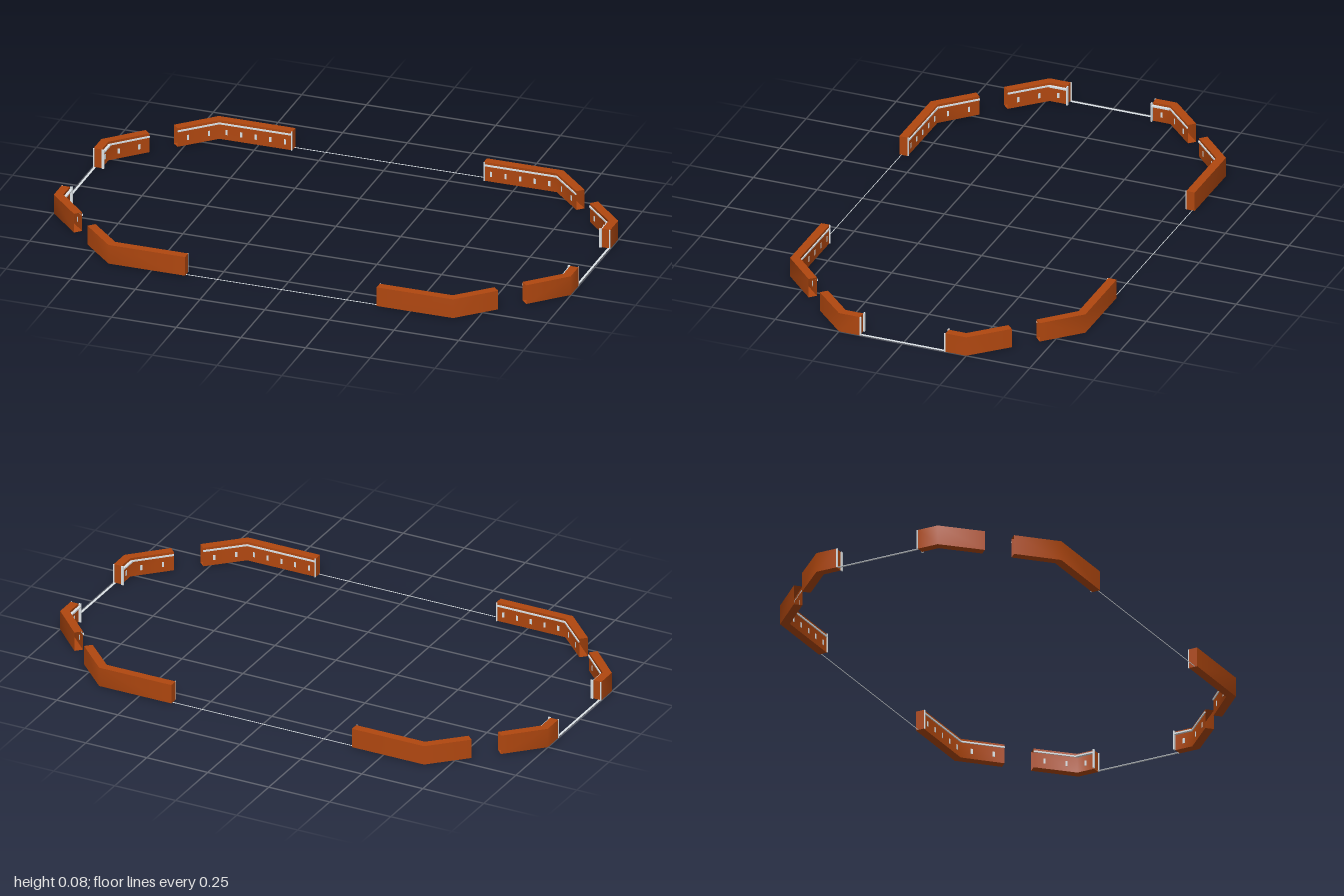
import * as THREE from 'three';
import { toCreasedNormals } from 'three/addons/utils/BufferGeometryUtils.js';

const H = 0.075;

// Plan outlines of one corner (x, z): outer line and inner line
const LONG = {
  name: 'longWall', gate: 0, slots: [5, 2], ledge: [0.004, 0.004],
  outer: [[0.37, 0.58], [0.666, 0.58], [0.794, 0.454]],
  inner: [[0.37, 0.547], [0.652, 0.547], [0.771, 0.431]],
};
const SHORT = {
  name: 'shortWall', gate: 2, slots: [2, 1], ledge: [0.004, 0.01],
  outer: [[0.874, 0.377], [0.999, 0.25], [0.999, 0.168]],
  inner: [[0.851, 0.354], [0.967, 0.237], [0.967, 0.168]],
};

export function createModel() {
  const model = new THREE.Group();
  // The wall shells are open at their diagonal ends
  const brick = new THREE.MeshStandardMaterial({ color: 0xb0470f, side: THREE.DoubleSide });
  brick.name = 'rustBrown';
  const trim = new THREE.MeshStandardMaterial({ color: 0xdde3e7 });
  trim.name = 'paleGrey';

  function box(parent, name, w, h, d, x, y, z, turn = 0) {
    const mesh = new THREE.Mesh(new THREE.BoxGeometry(w, h, d), trim);
    mesh.name = name;
    mesh.position.set(x, y, z);
    mesh.rotation.y = turn;
    parent.add(mesh);
  }

  // Bent shell, open at the diagonal end and capped at the gate end
  function shell(outer, inner, gate, flip) {
    const pos = [];
    const quad = (a, b, c, d) => {
      const order = flip ? [a, c, b, a, d, c] : [a, b, c, a, c, d];
      order.forEach((p) => pos.push(...p));
    };
    const lo = (p) => [p[0], 0, p[1]];
    const hi = (p) => [p[0], H, p[1]];
    for (let i = 0; i < outer.length - 1; i++) {
      const [a, b, c, d] = [outer[i], outer[i + 1], inner[i + 1], inner[i]];
      quad(lo(a), lo(b), hi(b), hi(a));
      quad(lo(c), lo(d), hi(d), hi(c));
      quad(hi(a), hi(b), hi(c), hi(d));
      quad(lo(d), lo(c), lo(b), lo(a));
    }
    const [s, e] = gate === 0 ? [inner[0], outer[0]] : [outer[gate], inner[gate]];
    quad(lo(s), lo(e), hi(e), hi(s));
    const geo = new THREE.BufferGeometry();
    geo.setAttribute('position', new THREE.Float32BufferAttribute(pos, 3));
    // Smooth round the 45 degree bend, sharp along the top and ends
    return toCreasedNormals(geo, 1.0);
  }

  function wall(spec, sx, sz) {
    const group = new THREE.Group();
    group.name = spec.name;
    const mirror = (pts) => pts.map(([x, z]) => [x * sx, z * sz]);
    const outer = mirror(spec.outer);
    const inner = mirror(spec.inner);
    const body = new THREE.Mesh(shell(outer, inner, spec.gate, sx * sz < 0), brick);
    body.name = 'wallShell';
    group.add(body);

    // Inner rail below the top edge and small pale slots in the lower face
    for (let i = 0; i < 2; i++) {
      const [ax, az] = inner[i];
      const [bx, bz] = inner[i + 1];
      const dx = bx - ax, dz = bz - az;
      const len = Math.hypot(dx, dz);
      const turn = Math.atan2(-dz, dx);
      // Unit normal pointing into the enclosure
      let nx = -dz / len, nz = dx / len;
      if (nx * ax + nz * az > 0) { nx = -nx; nz = -nz; }
      const out = spec.ledge[i];
      box(group, 'innerRail', len, 0.006, out,
        (ax + bx) / 2 + nx * out / 2, 0.063, (az + bz) / 2 + nz * out / 2, turn);
      const n = spec.slots[i];
      for (let k = 0; k < n; k++) {
        const t = (k + 0.5) / n;
        box(group, 'slot', 0.008, 0.02, 0.002,
          ax + dx * t + nx * 0.0005, 0.03, az + dz * t + nz * 0.0005, turn);
      }
    }

    // Pale posts at the gate end
    const [gx, gz] = inner[spec.gate];
    if (spec.gate === 0) {
      box(group, 'gatePost', 0.004, H, 0.004, gx + sx * 0.002, H / 2, gz - sz * 0.002);
    } else {
      box(group, 'gatePost', 0.01, H, 0.005, gx - sx * 0.005, H / 2, gz - sz * 0.0025);
      box(group, 'gateEdge', 0.004, H, 0.005, sx * 0.998, H / 2, gz - sz * 0.0025);
    }
    model.add(group);
  }

  for (const sx of [1, -1]) {
    for (const sz of [1, -1]) {
      wall(LONG, sx, sz);
      wall(SHORT, sx, sz);
    }
  }

  // Thin ground sills across the four gates
  for (const s of [1, -1]) {
    box(model, 'longSill', 0.74, 0.002, 0.002, 0, 0.001, s * 0.571);
    box(model, 'sideSill', 0.008, 0.002, 0.33, s * 0.993, 0.001, 0);
  }
  return model;
}
